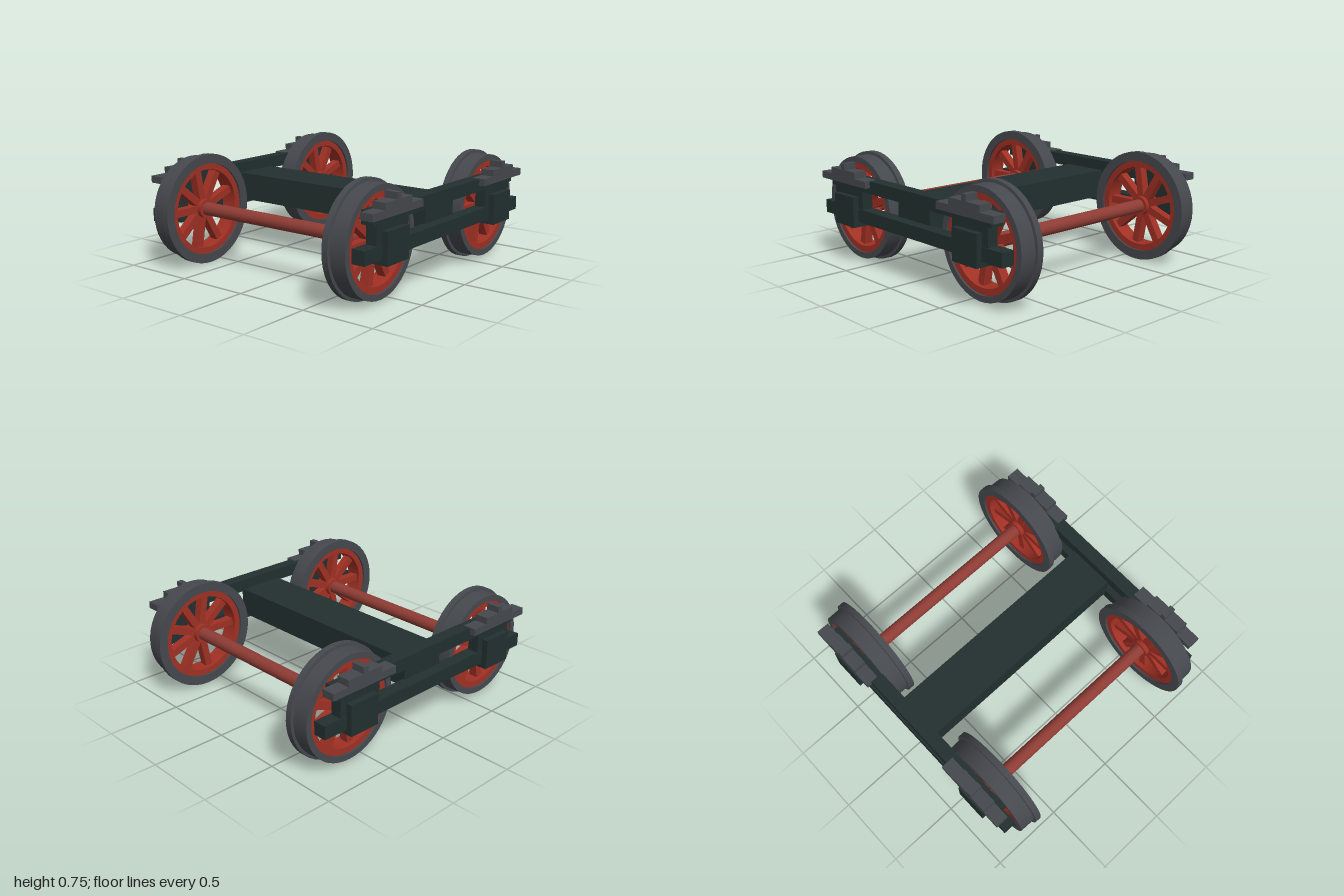
import * as THREE from 'three';
import { toCreasedNormals } from 'three/addons/utils/BufferGeometryUtils.js';

const material = (name, color) => {
  const m = new THREE.MeshStandardMaterial({ color });
  m.name = name;
  return m;
};

export function createModel() {
  const frameGreen = material('frame dark green', 0x22302f);
  const steel = material('steel grey', 0x45484d);
  const red = material('wheel red', 0xa03024);
  const axleRed = material('axle red', 0x8e3c34);

  const model = new THREE.Group();
  model.name = 'railTruck';

  const add = (parent, name, geometry, mat) => {
    const mesh = new THREE.Mesh(geometry, mat);
    mesh.name = name;
    parent.add(mesh);
    return mesh;
  };

  // Box given by its limits; z limits are measured outward on side s
  const block = (parent, name, mat, x0, x1, y0, y1, z0, z1, s = 1) => {
    const mesh = add(parent, name, new THREE.BoxGeometry(x1 - x0, y1 - y0, z1 - z0), mat);
    mesh.position.set((x0 + x1) / 2, (y0 + y1) / 2, (s * (z0 + z1)) / 2);
  };

  // Closed ring turned about z from [radius, z] points
  const ring = (points, s) => {
    const pts = [...points, points[0]].map(([r, z]) => new THREE.Vector2(r, z));
    const g = toCreasedNormals(new THREE.LatheGeometry(pts, 48), 0.5);
    return g.rotateX((s * Math.PI) / 2);
  };

  const AXLE_X = 0.625, AXLE_Y = 0.375, SPOKES = 9;

  const wheel = (x, s) => {
    const g = new THREE.Group();
    g.name = 'wheel';
    g.position.set(x, AXLE_Y, 0);
    // Tyre with flange on the inner side
    add(g, 'tyre', ring([[0.375, 0.64], [0.375, 0.682], [0.355, 0.684], [0.352, 0.79], [0.312, 0.79], [0.312, 0.64]], s), steel);
    add(g, 'rim', ring([[0.314, 0.655], [0.314, 0.775], [0.27, 0.775], [0.27, 0.655]], s), red);
    const hub = add(g, 'hub', new THREE.CylinderGeometry(0.065, 0.065, 0.125, 24).rotateX(Math.PI / 2), red);
    hub.position.z = s * 0.7175;
    for (let i = 0; i < SPOKES; i++) {
      const a = ((20 + (i * 360) / SPOKES) * Math.PI) / 180;
      const spoke = add(g, 'spoke', new THREE.BoxGeometry(0.25, 0.05, 0.06), red);
      spoke.position.set(Math.cos(a) * 0.16, Math.sin(a) * 0.16, s * 0.715);
      spoke.rotation.z = a;
    }
    model.add(g);
  };

  // Axles and wheels
  for (const x of [-AXLE_X, AXLE_X]) {
    const axle = add(model, 'axle', new THREE.CylinderGeometry(0.045, 0.045, 1.6, 24).rotateX(Math.PI / 2), axleRed);
    axle.position.set(x, AXLE_Y, 0);
    for (const s of [-1, 1]) wheel(x, s);
  }

  // Cross beam between the side frames
  block(model, 'crossBeam', frameGreen, -0.163, 0.163, 0.35, 0.54, -0.8, 0.8);

  // Side frames with axle boxes and leaf springs
  for (const s of [-1, 1]) {
    const side = new THREE.Group();
    side.name = 'sideFrame';
    block(side, 'upperBar', frameGreen, -0.82, 0.82, 0.525, 0.61, 0.785, 0.875, s);
    block(side, 'lowerBar', frameGreen, -0.91, 0.91, 0.31, 0.4, 0.785, 0.875, s);
    for (const x of [-AXLE_X, AXLE_X]) {
      block(side, 'pedestal', frameGreen, x - 0.16, x + 0.16, 0.39, 0.535, 0.795, 0.87, s);
      block(side, 'axleBox', frameGreen, x - 0.111, x + 0.111, 0.275, 0.482, 0.8, 0.913, s);
      block(side, 'longLeafSpring', steel, x - 0.256, x + 0.256, 0.565, 0.612, 0.823, 0.913, s);
      block(side, 'shortLeafSpring', steel, x - 0.138, x + 0.138, 0.612, 0.655, 0.823, 0.913, s);
      block(side, 'springBuckle', steel, x - 0.02, x + 0.02, 0.655, 0.697, 0.823, 0.913, s);
    }
    model.add(side);
  }
  return model;
}
